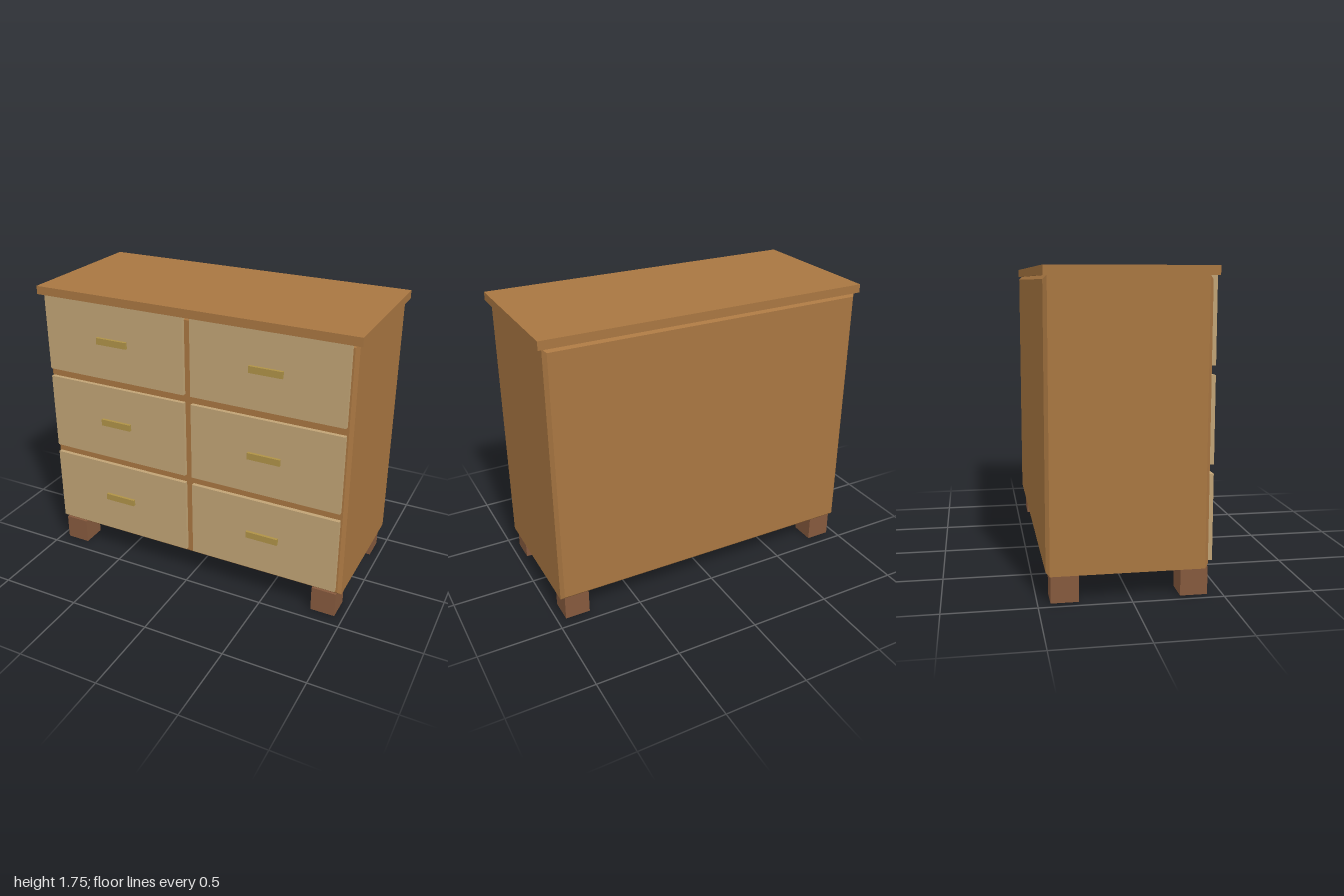
import * as THREE from 'three';

const mat = (name, color) => {
  const m = new THREE.MeshStandardMaterial({ color });
  m.name = name;
  return m;
};

export function createModel() {
  const wood = mat('warm wood', 0xa87641);
  const panel = mat('pale wood', 0xc0a375);
  const brass = mat('brass', 0xae9247);
  const dark = mat('dark wood', 0x85593d);

  const group = new THREE.Group();
  group.name = 'chestOfDrawers';

  // Box given by its lower and upper corners
  const box = (name, material, x0, x1, y0, y1, z0, z1) => {
    const mesh = new THREE.Mesh(new THREE.BoxGeometry(x1 - x0, y1 - y0, z1 - z0), material);
    mesh.position.set((x0 + x1) / 2, (y0 + y1) / 2, (z0 + z1) / 2);
    mesh.name = name;
    group.add(mesh);
  };

  // Carcass with chamfered edges
  const c = 0.02, hx = 0.975, y0 = 0.153, y1 = 1.703, z0 = -0.456, z1 = 0.418;
  const outline = new THREE.Shape();
  outline.moveTo(-hx + c, y0 + c);
  outline.lineTo(hx - c, y0 + c);
  outline.lineTo(hx - c, y1 - c);
  outline.lineTo(-hx + c, y1 - c);
  outline.closePath();
  const bodyGeo = new THREE.ExtrudeGeometry(outline, {
    depth: z1 - z0 - 2 * c, bevelEnabled: true, bevelSegments: 1, bevelSize: c, bevelThickness: c,
  });
  bodyGeo.translate(0, 0, z0 + c);
  const body = new THREE.Mesh(bodyGeo, wood);
  body.name = 'body';
  group.add(body);

  // Overhanging top board
  box('topBoard', wood, -1, 1, 1.703, 1.753, -0.457, 0.443);

  // Three rows of two drawers, each with a bar handle
  const rows = [[0.19, 0.665, 0.43], [0.715, 1.19, 0.955], [1.24, 1.703, 1.48]];
  const columns = [[-0.95, -0.025, -0.49], [0.02, 0.945, 0.484]];
  for (const [bottom, top, hy] of rows) {
    for (const [left, right, cx] of columns) {
      box('drawerFront', panel, left, right, bottom, top, 0.38, 0.442);
      box('handle', brass, cx - 0.1, cx + 0.1, hy - 0.02, hy + 0.02, 0.437, 0.459);
    }
  }

  // Block feet
  for (const x of [-0.952, 0.798]) {
    for (const z of [-0.431, 0.268]) {
      box('foot', dark, x, x + 0.15, 0, 0.156, z, z + 0.15);
    }
  }
  return group;
}
